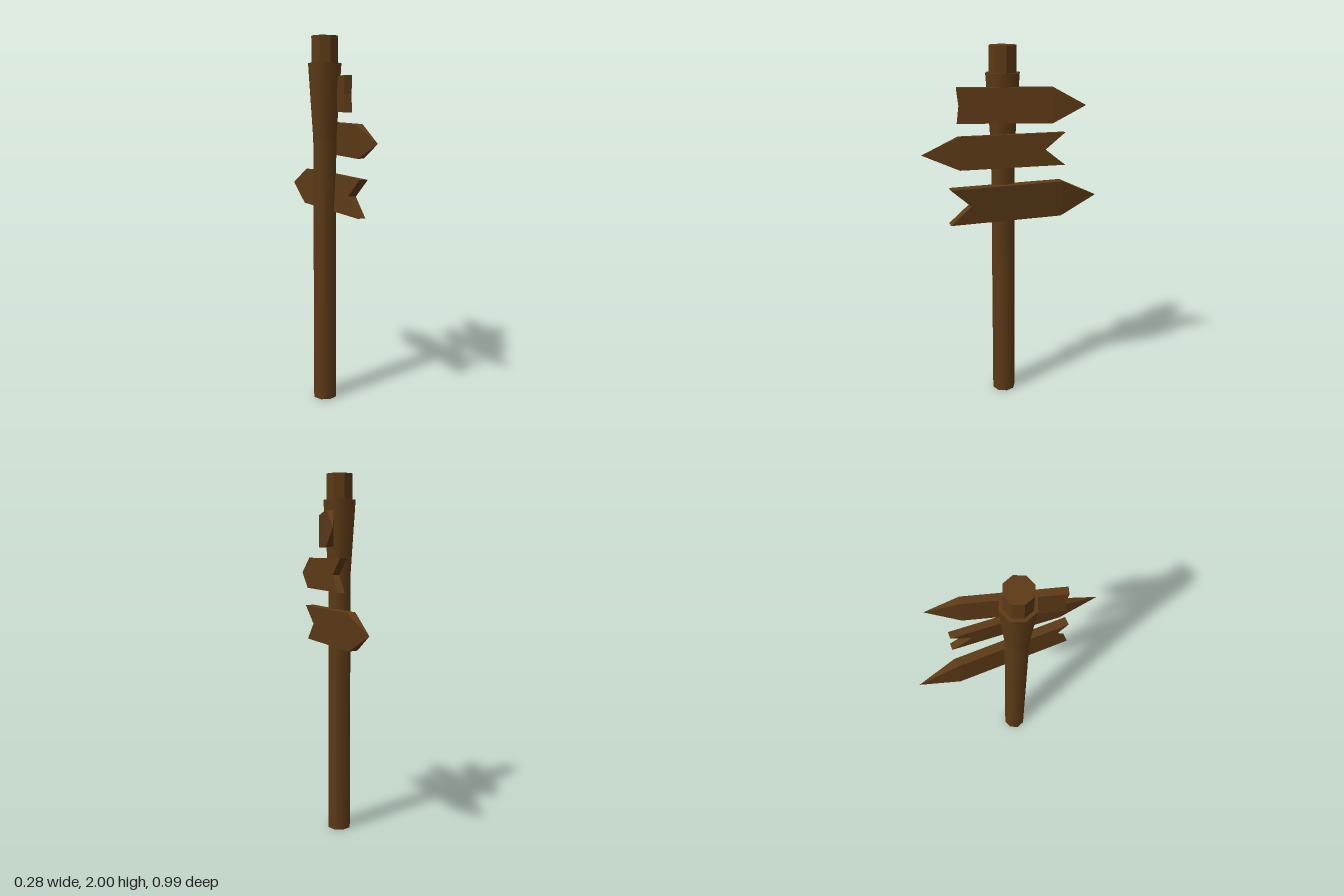
import * as THREE from 'three';

const wood = new THREE.MeshStandardMaterial({ color: 0x5c3a16 });
const woodFlat = new THREE.MeshStandardMaterial({ color: 0x5c3a16, flatShading: true });

// Eight-sided section of the post between two heights
function postSection(name, rTop, rBottom, y0, y1, material) {
  const mesh = new THREE.Mesh(new THREE.CylinderGeometry(rTop, rBottom, y1 - y0, 8), material);
  mesh.position.y = (y0 + y1) / 2;
  mesh.name = name;
  return mesh;
}

// Arrow board pointing along +x: notched tail, and a tip that narrows to one point
function arrowBoard({ name, tail, notch, shoulder, tip, height, thick, pos, yaw, lean }) {
  const h = height / 2, t = thick / 2;
  const outline = [[tail, h], [notch, 0], [tail, -h], [shoulder, -h], [shoulder, h]];
  const points = [];
  for (const z of [t, -t]) for (const [x, y] of outline) points.push(x, y, z);
  points.push(tip, 0, 0); // vertex 10

  const index = [];
  // Both faces, including the tip triangle
  for (const [a, b, c] of [[0, 1, 4], [1, 3, 4], [1, 2, 3]]) {
    index.push(a, b, c, a + 5, c + 5, b + 5);
  }
  index.push(3, 10, 4, 8, 9, 10);
  // Edges of the board and of the tip
  for (const [a, b] of [[0, 1], [1, 2], [2, 3], [4, 0]]) {
    index.push(a, a + 5, b, b, a + 5, b + 5);
  }
  index.push(4, 10, 9, 3, 8, 10);

  const indexed = new THREE.BufferGeometry();
  indexed.setAttribute('position', new THREE.Float32BufferAttribute(points, 3));
  indexed.setIndex(index);
  const geometry = indexed.toNonIndexed();
  geometry.computeVertexNormals();

  const mesh = new THREE.Mesh(geometry, woodFlat);
  mesh.name = name;
  mesh.position.set(...pos);
  mesh.rotation.set(lean, THREE.MathUtils.degToRad(yaw), 0, 'YXZ');
  return mesh;
}

export function createModel() {
  const model = new THREE.Group();
  model.name = 'signpost';

  // Post with flared collar and a narrower cap
  const post = new THREE.Group();
  post.name = 'post';
  post.position.set(-0.045, 0, 0.036);
  post.add(
    postSection('shaft', 0.066, 0.066, 0, 1.46, wood),
    postSection('collar', 0.094, 0.066, 1.46, 1.86, wood),
    postSection('cap', 0.075, 0.075, 1.86, 2, woodFlat)
  );
  model.add(post);

  // Three direction boards on the left side of the post
  model.add(
    arrowBoard({
      name: 'topSign', tail: -0.298, notch: -0.287, shoulder: 0.203, tip: 0.377,
      height: 0.185, thick: 0.038, pos: [0.043, 1.7, 0], yaw: 75.5, lean: 0
    }),
    arrowBoard({
      name: 'middleSign', tail: -0.28, notch: -0.17, shoulder: 0.295, tip: 0.492,
      height: 0.175, thick: 0.036, pos: [0.045, 1.46, 0], yaw: -92.1, lean: 0.06
    }),
    arrowBoard({
      name: 'bottomSign', tail: -0.348, notch: -0.235, shoulder: 0.28, tip: 0.494,
      height: 0.2, thick: 0.048, pos: [0.011, 1.17, 0], yaw: 91.9, lean: 0.06
    })
  );
  return model;
}
